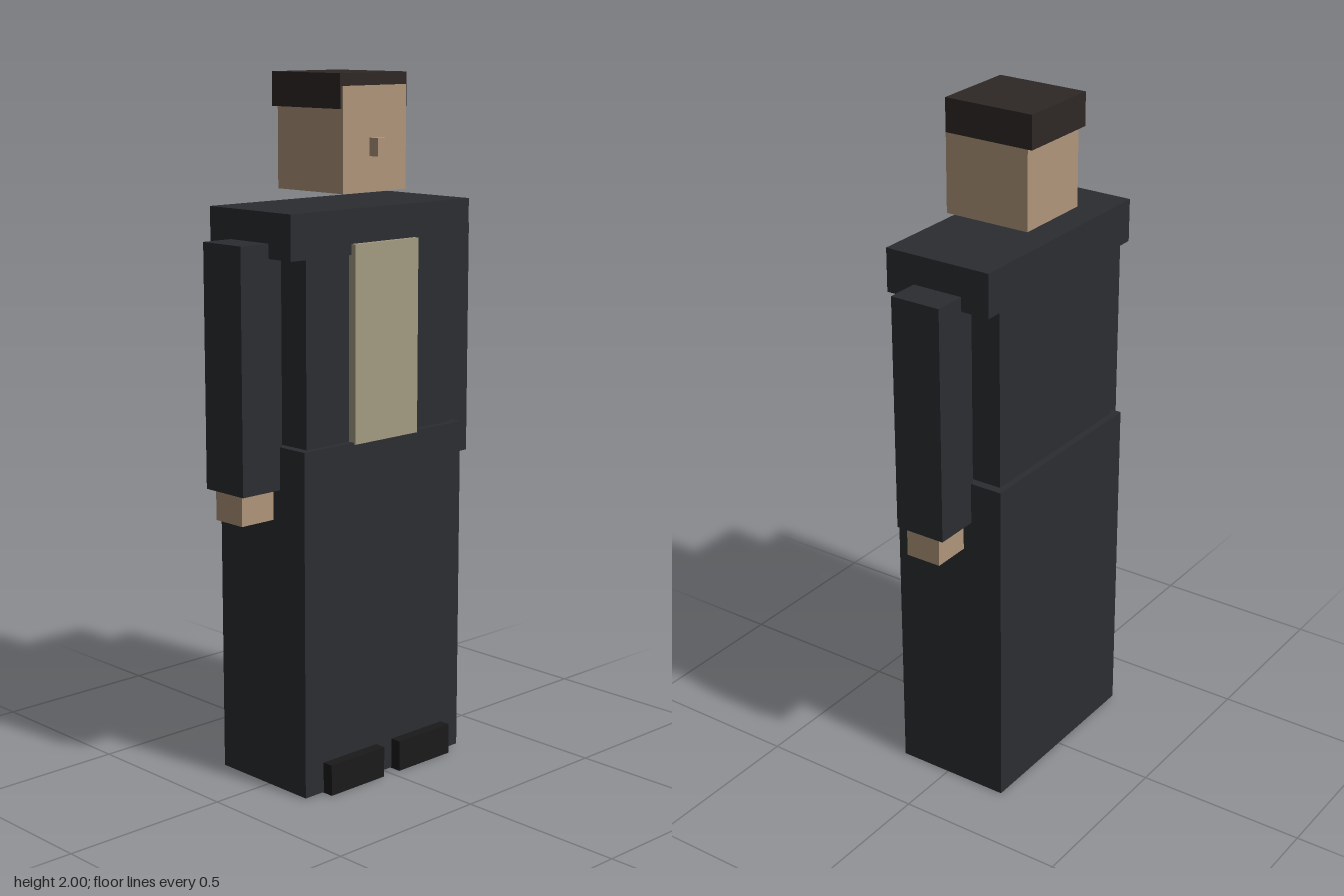
import * as THREE from 'three';

const material = (color) => new THREE.MeshStandardMaterial({ color, flatShading: true });

export function createModel() {
  const model = new THREE.Group();
  model.name = 'robedFigure';

  const cloth = material(0x2b2d31);
  const skin = material(0xb0957a);
  const hairColor = material(0x2e2725);
  const shirt = material(0xa39a82);
  const leather = material(0x1a1a1a);

  // Box given by its extents along each axis
  function block(name, mat, [x0, x1], [y0, y1], [z0, z1]) {
    const mesh = new THREE.Mesh(new THREE.BoxGeometry(x1 - x0, y1 - y0, z1 - z0), mat);
    mesh.position.set((x0 + x1) / 2, (y0 + y1) / 2, (z0 + z1) / 2);
    mesh.name = name;
    model.add(mesh);
  }

  // Mirrored pair of boxes, given by the left (+x) one
  function pair(name, mat, [x0, x1], y, z) {
    block('left' + name, mat, [x0, x1], y, z);
    block('right' + name, mat, [-x1, -x0], y, z);
  }

  // Robe and upper body
  block('robeSkirt', cloth, [-0.308, 0.308], [0.002, 0.995], [-0.193, 0.157]);
  block('torso', cloth, [-0.282, 0.282], [0.99, 1.53], [-0.173, 0.138]);
  block('shoulders', cloth, [-0.344, 0.344], [1.515, 1.64], [-0.182, 0.147]);
  block('shirtFront', shirt, [-0.122, 0.122], [0.99, 1.545], [0.136, 0.163]);

  // Head
  block('head', skin, [-0.121, 0.121], [1.677, 1.966], [-0.15, 0.112]);
  block('hair', hairColor, [-0.127, 0.127], [1.905, 2], [-0.167, 0.108]);
  block('nose', skin, [-0.021, 0.021], [1.775, 1.825], [0.1, 0.146]);

  // Limbs
  pair('Sleeve', cloth, [0.299, 0.442], [0.874, 1.556], [-0.095, 0.058]);
  pair('Hand', skin, [0.313, 0.428], [0.787, 0.88], [-0.072, 0.036]);
  pair('Shoe', leather, [0.031, 0.239], [0, 0.09], [-0.1, 0.19]);

  return model;
}
